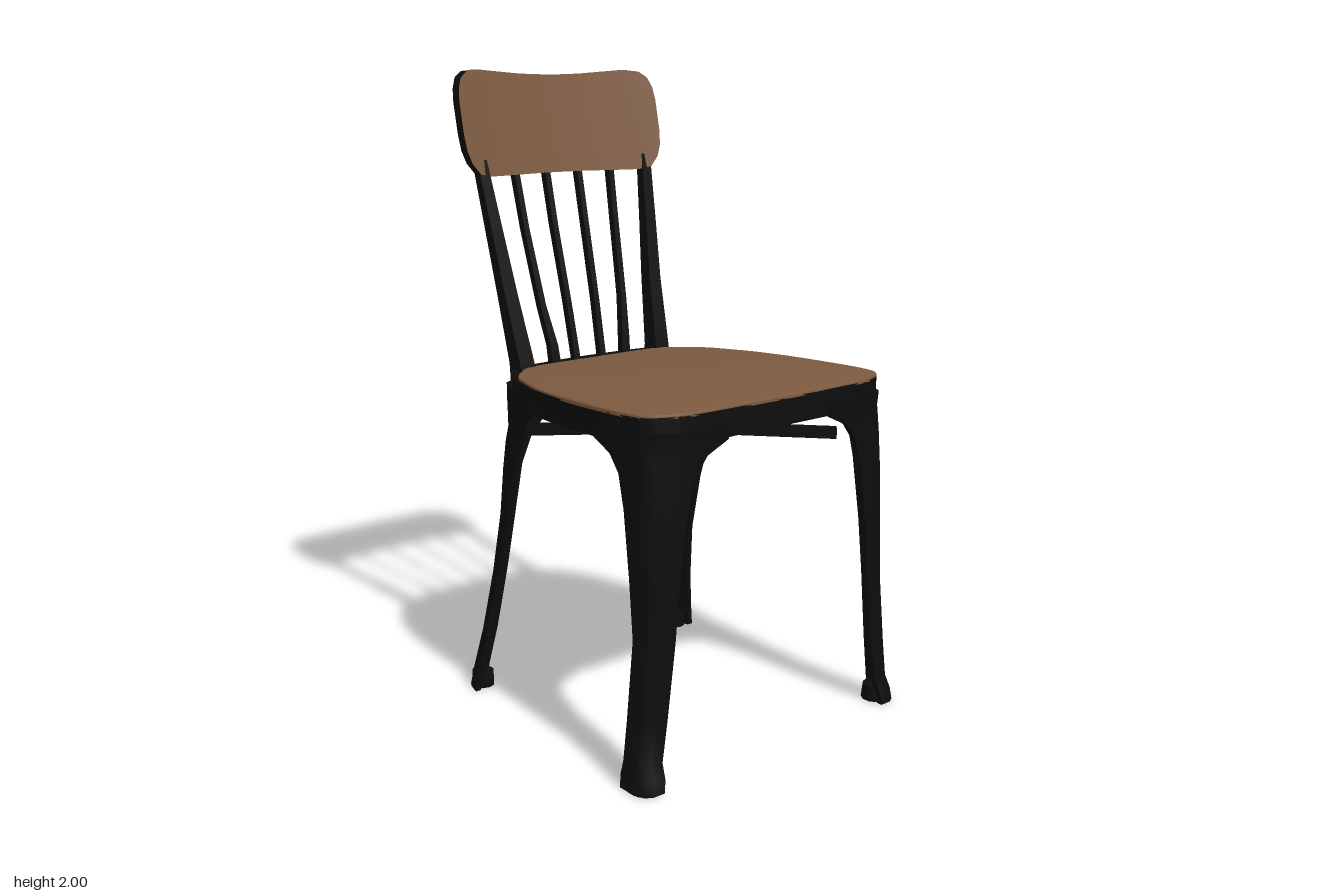
import * as THREE from 'three';
import { toCreasedNormals } from 'three/addons/utils/BufferGeometryUtils.js';

const wood = new THREE.MeshStandardMaterial({ color: 0x7d5a40 });
wood.name = 'brown wood';
const metal = new THREE.MeshStandardMaterial({ color: 0x0d0d0d });
metal.name = 'black metal';

// Closed loft through rings of equal length; each ring pairs point i with point n-1-i for the caps.
function loft(rings) {
  const n = rings[0].length, last = (rings.length - 1) * n, idx = [];
  const quad = (a, b, c, d) => idx.push(a, b, c, a, c, d);
  for (let r = 0; r < rings.length - 1; r++)
    for (let i = 0; i < n; i++) {
      const j = (i + 1) % n;
      quad(r * n + i, r * n + j, (r + 1) * n + j, (r + 1) * n + i);
    }
  for (let i = 0; i < n / 2 - 1; i++) {
    quad(i, n - 1 - i, n - 2 - i, i + 1);
    quad(last + i, last + i + 1, last + n - 2 - i, last + n - 1 - i);
  }
  // keep faces outward on mirrored parts
  const p = rings.flat().map((a) => new THREE.Vector3(...a));
  let volume = 0;
  for (let k = 0; k < idx.length; k += 3)
    volume += p[idx[k]].dot(p[idx[k + 1]].clone().cross(p[idx[k + 2]]));
  if (volume < 0) idx.reverse();
  const g = new THREE.BufferGeometry().setFromPoints(p);
  g.setIndex(idx);
  return toCreasedNormals(g, 0.7);
}

// Curved sheet whose grid points come from fn(column, row)
function patch(cols, rows, fn) {
  const g = new THREE.PlaneGeometry(1, 1, cols - 1, rows - 1);
  for (let j = 0; j < rows; j++)
    for (let i = 0; i < cols; i++) g.attributes.position.setXYZ(j * cols + i, ...fn(i, j));
  g.computeVertexNormals();
  return g;
}

// Symmetric plan outline from half points [x, z], optionally scaled
function outline(half, s = 1, Type = THREE.Shape) {
  const left = half.slice(1, -1).reverse().map(([x, z]) => [-x, z]);
  const pts = [...half, ...left, half[0]].map(([x, z]) => new THREE.Vector2(x * s, -0.1 + (-z + 0.1) * s));
  const shape = new Type();
  shape.moveTo(pts[0].x, pts[0].y);
  shape.splineThru(pts.slice(1));
  return shape;
}

function slab(shape, y, height, bevel = 0) {
  const g = new THREE.ExtrudeGeometry(shape, {
    depth: height - 2 * bevel, curveSegments: 4, bevelEnabled: bevel > 0,
    bevelSize: bevel, bevelOffset: -bevel, bevelThickness: bevel, bevelSegments: 2,
  });
  g.rotateX(-Math.PI / 2).translate(0, y + bevel, 0);
  return toCreasedNormals(g, 0.6);
}

export function createModel() {
  const model = new THREE.Group();
  const add = (name, geometry, material = metal) => {
    const mesh = new THREE.Mesh(geometry, material);
    mesh.name = name;
    model.add(mesh);
    return mesh;
  };

  // Seat pan, rim and apron, tipped slightly back
  const front = [[0, 0.58], [0.3, 0.577], [0.4, 0.56], [0.465, 0.52], [0.485, 0.46], [0.49, 0.35], [0.48, 0.15]];
  const frame = [...front, [0.46, 0], [0.43, -0.13], [0.395, -0.21], [0.33, -0.31], [0.27, -0.355], [0, -0.375]];
  const pad = [...front, [0.457, 0], [0.43, -0.09], [0.395, -0.18], [0.335, -0.25], [0.25, -0.302], [0, -0.305]];
  const apron = outline(frame, 0.97);
  apron.holes.push(outline(frame, 0.93, THREE.Path));
  for (const mesh of [
    add('seatRim', slab(outline(frame), 1.02, 0.046)),
    add('seatApron', slab(apron, 0.98, 0.045)),
    add('seatPanel', slab(outline(pad), 1.055, 0.019, 0.006), wood),
  ]) mesh.rotation.x = -0.016;
  add('backApron', new THREE.BoxGeometry(0.54, 0.13, 0.02).translate(0, 0.965, -0.345));

  // Legs: angle-section shells; rows are y, outer x, outer z, inner x, inner z, corner radius
  const frontLeg = [
    [0, 0.535, 0.575, 0.46, 0.465, 0.035], [0.04, 0.53, 0.57, 0.455, 0.462, 0.035],
    [0.08, 0.522, 0.552, 0.45, 0.465, 0.03], [0.2, 0.508, 0.55, 0.43, 0.465, 0.03],
    [0.43, 0.486, 0.55, 0.4, 0.465, 0.035], [0.6, 0.484, 0.55, 0.385, 0.448, 0.04],
    [0.8, 0.48, 0.55, 0.355, 0.42, 0.05], [0.9, 0.478, 0.55, 0.325, 0.395, 0.06],
    [0.95, 0.477, 0.552, 0.285, 0.355, 0.07], [0.985, 0.476, 0.555, 0.21, 0.28, 0.08],
    [1.03, 0.476, 0.56, 0.2, 0.26, 0.08],
  ];
  const backLeg = [
    [0, 0.462, -0.442, 0.39, -0.36, 0.035], [0.06, 0.456, -0.43, 0.387, -0.355, 0.035],
    [0.2, 0.436, -0.4, 0.37, -0.335, 0.035], [0.4, 0.412, -0.373, 0.345, -0.3, 0.04],
    [0.6, 0.4, -0.358, 0.317, -0.25, 0.06], [0.75, 0.4, -0.355, 0.29, -0.207, 0.08],
    [0.84, 0.4, -0.355, 0.25, -0.175, 0.1], [0.89, 0.4, -0.356, 0.2, -0.15, 0.12],
    [0.95, 0.4, -0.358, 0.15, -0.12, 0.12], [0.985, 0.4, -0.36, 0.13, -0.04, 0.12],
    [1.03, 0.4, -0.36, 0.13, -0.02, 0.12],
  ];
  const legRing = (side, back) => ([y, ox, oz, ix, iz, r]) => {
    const d = back ? -1 : 1, t = 0.02, k = 0.36 * r;
    const ex = ox + (back ? 0.3 * Math.max(0, Math.abs(oz - iz) - r) : 0);
    const plan = [
      [ix, oz], [ox - r, oz], [ox - k, oz - d * k], [ox, oz - d * r], [ex, iz],
      [ex - t, iz], [ox - t, oz - d * r], [ox - k - 0.7 * t, oz - d * (k + 0.7 * t)],
      [ox - r, oz - d * t], [ix, oz - d * t],
    ];
    return plan.map(([x, z]) => [side * x, y, z]);
  };
  for (const side of [1, -1]) {
    const label = side > 0 ? 'Left' : 'Right';
    add('front' + label + 'Leg', loft(frontLeg.map(legRing(side, false))));
    add('back' + label + 'Leg', loft(backLeg.map(legRing(side, true))));
    add('front' + label + 'Foot', new THREE.CylinderGeometry(0.04, 0.046, 0.05, 10).translate(side * 0.493, 0.025, 0.517));
    add('back' + label + 'Foot', new THREE.CylinderGeometry(0.036, 0.038, 0.05, 10).translate(side * 0.422, 0.025, -0.398));

    // Diagonal brace under the seat
    add('seatBrace' + label, loft([[0.36, 0.893, 0.44], [0, 0.91, 0.12], [-0.35, 0.893, -0.22]].map(([x, y, z]) =>
      [[1, 1], [1, -1], [-1, -1], [-1, 1]].map(([a, b]) => [side * (x + 0.014 * a), y + 0.016 * b, z - 0.014 * a]))));

    // Back posts and spindles; rows are y, x, z, width, depth
    const bars = {
      backPost: [[1.0, 0.28, -0.325, 0.06, 0.07], [1.08, 0.283, -0.335, 0.056, 0.06], [1.3, 0.3, -0.385, 0.048, 0.045],
        [1.5, 0.318, -0.425, 0.042, 0.038], [1.72, 0.337, -0.47, 0.036, 0.03]],
      outerSpindle: [[1.04, 0.145, -0.342, 0.034, 0.025], [1.12, 0.15, -0.352, 0.03, 0.025], [1.25, 0.168, -0.385, 0.022, 0.025],
        [1.5, 0.186, -0.445, 0.02, 0.025], [1.72, 0.197, -0.49, 0.02, 0.025]],
      innerSpindle: [[1.04, 0.053, -0.348, 0.022, 0.025], [1.25, 0.058, -0.392, 0.02, 0.025],
        [1.5, 0.064, -0.452, 0.02, 0.025], [1.72, 0.066, -0.5, 0.02, 0.025]],
    };
    for (const [name, rows] of Object.entries(bars))
      add(name + label, loft(rows.map(([y, x, z, w, d]) =>
        [[1, 1], [1, -1], [-1, -1], [-1, 1]].map(([a, b]) => [side * x + a * w / 2, y, z + b * d / 2]))));
  }

  // Curved backrest: half columns of x, top y, bottom y
  const half = [[0, 1.985, 1.67], [0.08, 1.986, 1.67], [0.15, 1.989, 1.669], [0.23, 1.995, 1.668], [0.3, 2, 1.668],
    [0.35, 1.995, 1.676], [0.38, 1.975, 1.71], [0.395, 1.94, 1.75], [0.4, 1.9, 1.8]];
  const cols = [...half.slice(1).reverse().map(([x, t, b]) => [-x, t, b]), ...half];
  const depth = (x, y) => -0.475 + 0.28 * x * x - 0.212 * (y - 1.67);
  const face = (list, offset) => patch(list.length, 5, (i, j) => {
    const [x, top, bottom] = list[i], y = top + (bottom - top) * j / 4;
    return [x, y, depth(x, y) + offset];
  });
  const edge = (pts) => toCreasedNormals(patch(pts.length, 2, (i, j) => {
    const [x, y] = pts[i];
    return [x, y, depth(x, y) - (j ? 0 : 0.035)];
  }), 0.8);
  const reversed = [...cols].reverse();
  add('backrestFront', face(cols, 0), wood);
  add('backrestRear', face(reversed.filter((c) => c[0] >= -0.15), -0.035), wood);
  add('backrestRearDarkEnd', face(reversed.filter((c) => c[0] <= -0.15), -0.035));

  // Backrest edges: wooden along the top, black round the ends and underneath
  const tops = cols.map(([x, t]) => [x, t]);
  add('backrestTopEdge', edge(tops.filter(([x]) => Math.abs(x) <= 0.35)), wood);
  add('backrestEndEdge', edge([
    ...tops.filter(([x]) => x >= 0.35), ...reversed.map(([x, , b]) => [x, b]), ...tops.filter(([x]) => x <= -0.35),
  ]));

  return model;
}
